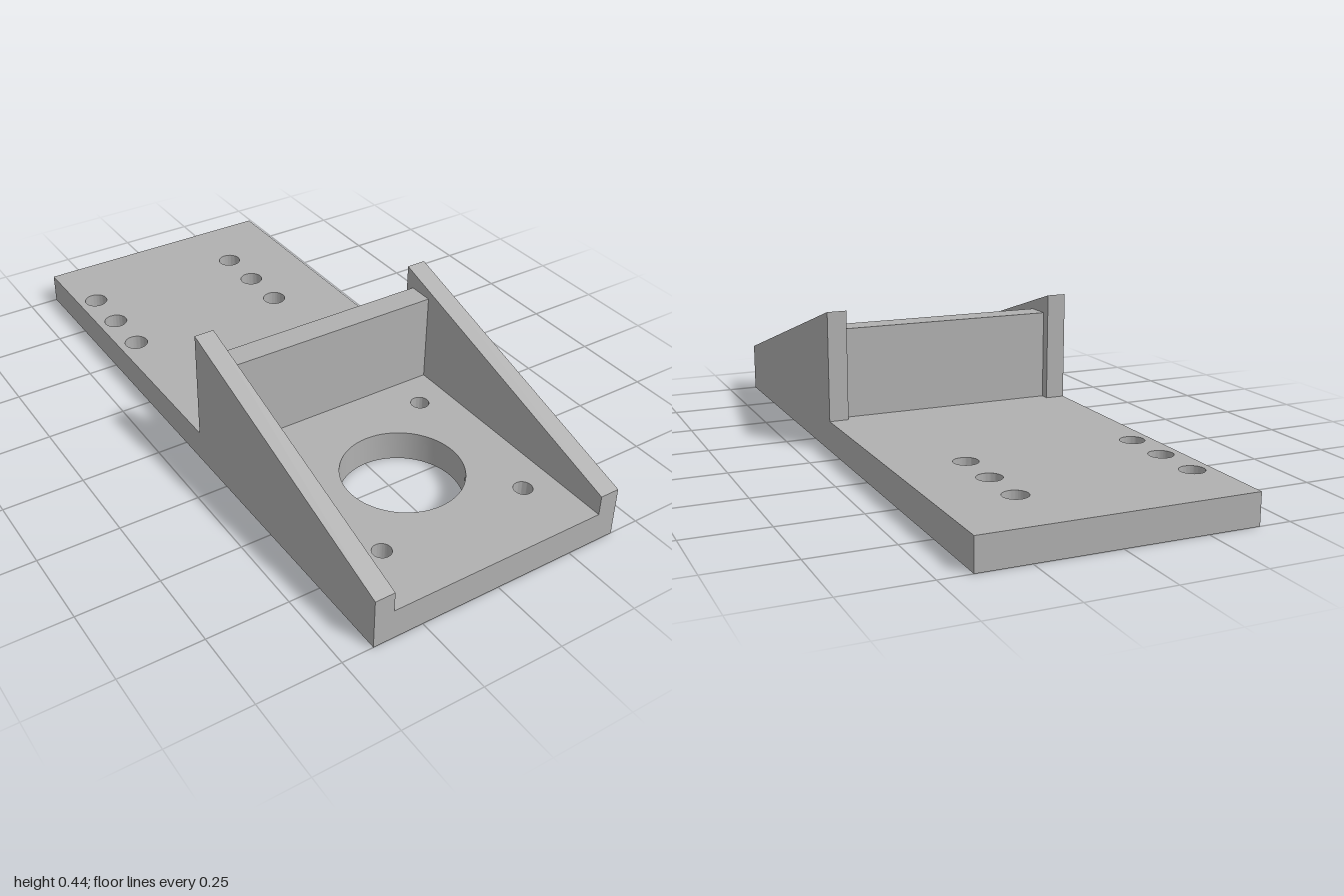
import * as THREE from 'three';
import { toCreasedNormals } from 'three/addons/utils/BufferGeometryUtils.js';

const HALF_W = 0.405, BASE_H = 0.095, RIB_T = 0.061;

export function createModel() {
  const group = new THREE.Group();
  const grey = new THREE.MeshStandardMaterial({ color: 0xb0b0b0 });
  grey.name = 'plain grey';

  const add = (name, geometry) => {
    const mesh = new THREE.Mesh(geometry, grey);
    mesh.name = name;
    group.add(mesh);
    return mesh;
  };

  // Base plate, drawn in plan (shape y = -z) with all its holes
  const plate = new THREE.Shape([
    new THREE.Vector2(-HALF_W, -1), new THREE.Vector2(HALF_W, -1),
    new THREE.Vector2(HALF_W, 1), new THREE.Vector2(-HALF_W, 1),
  ]);
  const drill = (x, z, r) => {
    plate.holes.push(new THREE.Path().absarc(x, -z, r, 0, Math.PI * 2, true));
  };
  drill(0, 0.56, 0.181); // large central bore
  for (const x of [-0.243, 0.243]) for (const z of [0.317, 0.802]) drill(x, z, 0.028); // screw holes
  for (const x of [-0.345, 0.187]) for (const z of [-0.77, -0.612, -0.455]) drill(x, z, 0.037); // mounting holes
  const plateGeo = new THREE.ExtrudeGeometry(plate, { depth: BASE_H, bevelEnabled: false, curveSegments: 32 });
  plateGeo.rotateX(-Math.PI / 2);
  add('basePlate', toCreasedNormals(plateGeo, 0.6));

  // Sloping side ribs, drawn in side profile (shape x = z)
  const rib = new THREE.Shape([
    new THREE.Vector2(0.092, BASE_H), new THREE.Vector2(1, BASE_H),
    new THREE.Vector2(1, 0.157), new THREE.Vector2(0.092, 0.438),
  ]);
  for (const [name, outerX] of [['leftRib', HALF_W], ['rightRib', -HALF_W + RIB_T]]) {
    const geo = new THREE.ExtrudeGeometry(rib, { depth: RIB_T, bevelEnabled: false });
    geo.rotateY(-Math.PI / 2);
    add(name, geo).position.x = outerX;
  }

  // Upright wall between the ribs
  const wallH = 0.376 - BASE_H;
  add('crossWall', new THREE.BoxGeometry(2 * (HALF_W - RIB_T), wallH, 0.08))
    .position.set(0, BASE_H + wallH / 2, 0.162);

  return group;
}
